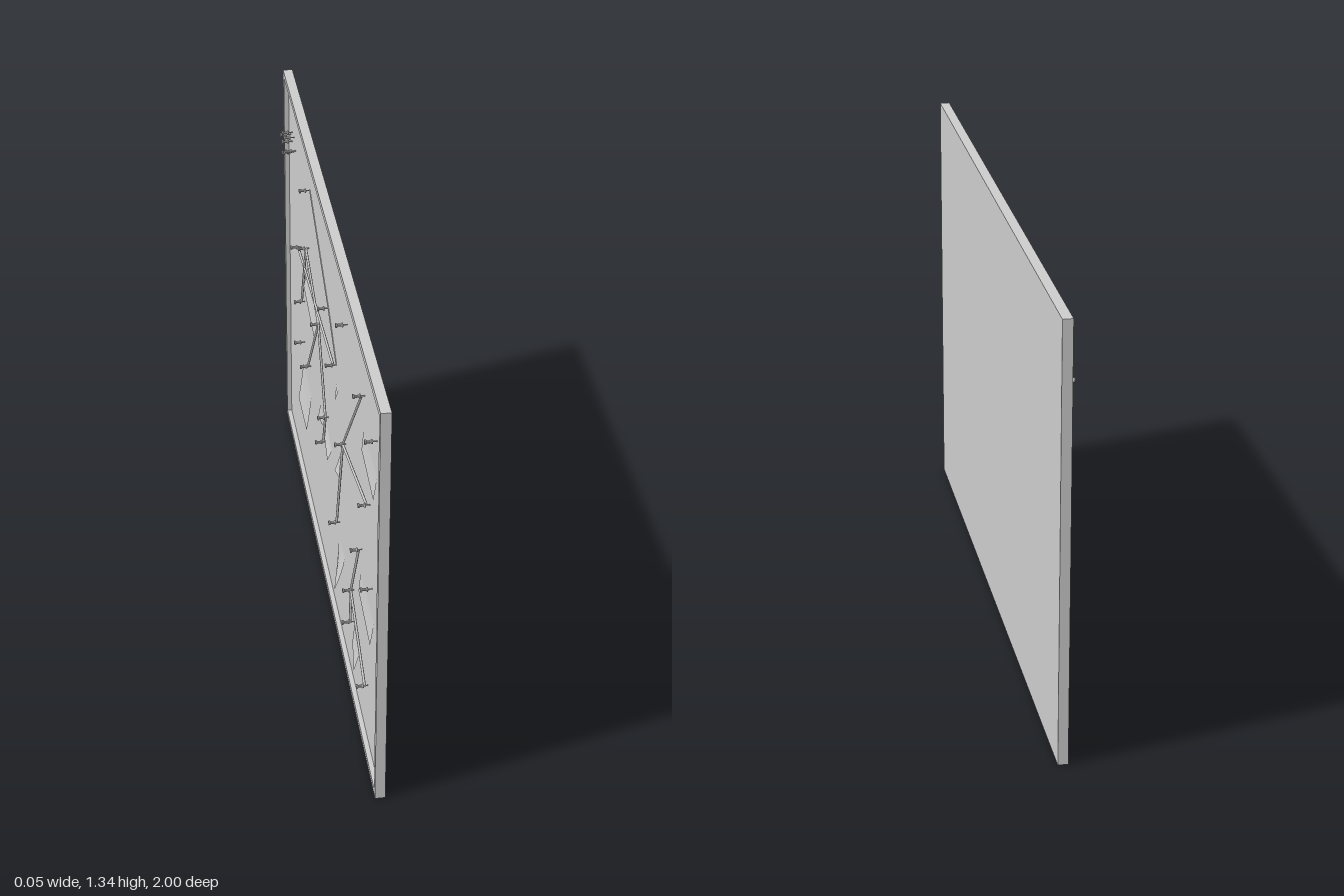
import * as THREE from 'three';

const HEIGHT = 1.335, RIM = 0.02;
const FACE = -0.01; // depth of the recessed pin surface
const material = new THREE.MeshStandardMaterial({ color: 0xcccccc });
const thin = new THREE.MeshStandardMaterial({ color: 0xcccccc, side: THREE.DoubleSide });

// Pins as [across, up] on the pin surface
const pins = {
  a: [0.865, 1.155], b: [0.653, 1.16], c: [0.325, 1.185], d: [0.76, 0.87], e: [0.31, 0.763],
  f: [0.817, 0.62], g: [0.627, 0.615], h: [0.484, 0.357], i: [0.76, 0.22], j: [0.476, 0.23],
  k: [0.19, 0.39], l: [0.114, 0.913], m: [-0.055, 1.007], n: [-0.463, 1.185], o: [-0.21, 0.855],
  p: [-0.495, 0.96], q: [-0.685, 0.855], r: [-0.606, 0.696], s: [-0.055, 0.612], t: [-0.105, 0.486],
  u: [-0.463, 0.537], v: [-0.61, 0.537],
  // spare pins in a cluster
  s1: [-0.934, 1.135], s2: [-0.89, 1.165], s3: [-0.845, 1.17], s4: [-0.81, 1.14],
  s5: [-0.85, 1.115], s6: [-0.89, 1.093], s7: [-0.895, 1.13],
};
const strings = ['be', 'ed', 'ek', 'gh', 'hi', 'hj', 'lq', 'po', 'pr', 'ou', 'os', 'st'];
const thinStrings = ['nm', 'ml'];

// Sheets: lower-left corner, width, height, tilt, lift of left and right lower corners
const sheets = [
  [-0.65, 0.295, 0.20, 0.27, 0, 0.018, 0.018],
  [0.17, 0.215, 0.13, 0.22, 0, 0.006, 0.034],
  [0.49, 0.165, 0.12, 0.18, -0.1, 0.006, 0.02],
  [0.60, 0.445, 0.25, 0.16, 0, 0.006, 0.012],
  [0.63, 0.965, 0.24, 0.16, 0, 0.006, 0.011],
  [-0.55, 0.79, 0.25, 0.16, -0.17, 0.012, 0.012],
  [-0.12, 0.52, 0.13, 0.09, -0.2, 0.008, 0.014],
  [-0.24, 0.495, 0.07, 0.08, 0.1, 0.008, 0.004],
  [0.11, 0.82, 0.05, 0.08, 0, 0.003, 0.012],
  [0.18, 0.58, 0.06, 0.10, 0, 0.016, 0.006],
];

function add(parent, name, geometry, mat = material) {
  const mesh = new THREE.Mesh(geometry, mat);
  mesh.name = name;
  parent.add(mesh);
  return mesh;
}

// Sheet held flat at the top, its lower corners curling outward
function sheetGeometry(width, height, left, right) {
  const g = new THREE.PlaneGeometry(width, height, 6, 10);
  g.translate(width / 2, height / 2, 0);
  const p = g.attributes.position;
  for (let i = 0; i < p.count; i++) {
    const drop = Math.max(0, 1 - p.getY(i) / (height * 0.6));
    const lift = THREE.MathUtils.lerp(left, right, p.getX(i) / width);
    p.setZ(i, -0.001 + lift * Math.pow(drop, 1.5));
  }
  g.computeVertexNormals();
  return g;
}

function stringGeometry(from, to, radius, depth) {
  const a = new THREE.Vector3(...from, depth), b = new THREE.Vector3(...to, depth);
  return new THREE.TubeGeometry(new THREE.LineCurve3(a, b), 1, radius, 6);
}

export function createModel() {
  const model = new THREE.Group();
  model.name = 'pinBoard';
  // Built facing its own +z, then turned so the pin side faces -x
  const board = new THREE.Group();
  board.name = 'board';
  board.rotation.y = -Math.PI / 2;
  model.add(board);

  // Backing panel
  const thickness = FACE + 0.025;
  const panel = add(board, 'panel', new THREE.BoxGeometry(2, HEIGHT, thickness));
  panel.position.set(0, HEIGHT / 2, -0.025 + thickness / 2);

  // Raised rim
  const outline = [[-1, 0], [1, 0], [1, HEIGHT], [-1, HEIGHT]].map((c) => new THREE.Vector2(...c));
  const shape = new THREE.Shape(outline);
  shape.holes.push(new THREE.Path(outline.map((c) => new THREE.Vector2(
    c.x - Math.sign(c.x) * RIM, c.y > 0 ? c.y - RIM : RIM))));
  const rim = add(board, 'rim', new THREE.ExtrudeGeometry(shape, { depth: 0.005 - FACE, bevelEnabled: false }));
  rim.position.z = FACE;

  // Push pins: needle, flange, waist and head
  const profile = [[0.002, -0.003], [0.002, 0.012], [0.007, 0.013], [0.007, 0.016], [0.004, 0.019],
    [0.004, 0.028], [0.007, 0.031], [0.007, 0.035], [0, 0.035]].map((c) => new THREE.Vector2(...c));
  const pinGeometry = new THREE.LatheGeometry(profile, 10).toNonIndexed();
  pinGeometry.rotateX(Math.PI / 2);
  pinGeometry.computeVertexNormals();
  for (const [x, y] of Object.values(pins)) {
    add(board, 'pushPin', pinGeometry).position.set(x, y, FACE);
  }

  // Strings between pins
  for (const [from, to] of strings) {
    add(board, 'string', stringGeometry(pins[from], pins[to], 0.004, 0));
  }
  for (const [from, to] of thinStrings) {
    add(board, 'thinString', stringGeometry(pins[from], pins[to], 0.002, FACE + 0.001));
  }

  // Curled paper sheets
  for (const [x, y, width, height, tilt, left, right] of sheets) {
    const sheet = add(board, 'paperSheet', sheetGeometry(width, height, left, right), thin);
    sheet.position.set(x, y, FACE);
    sheet.rotation.z = tilt;
  }
  return model;
}
